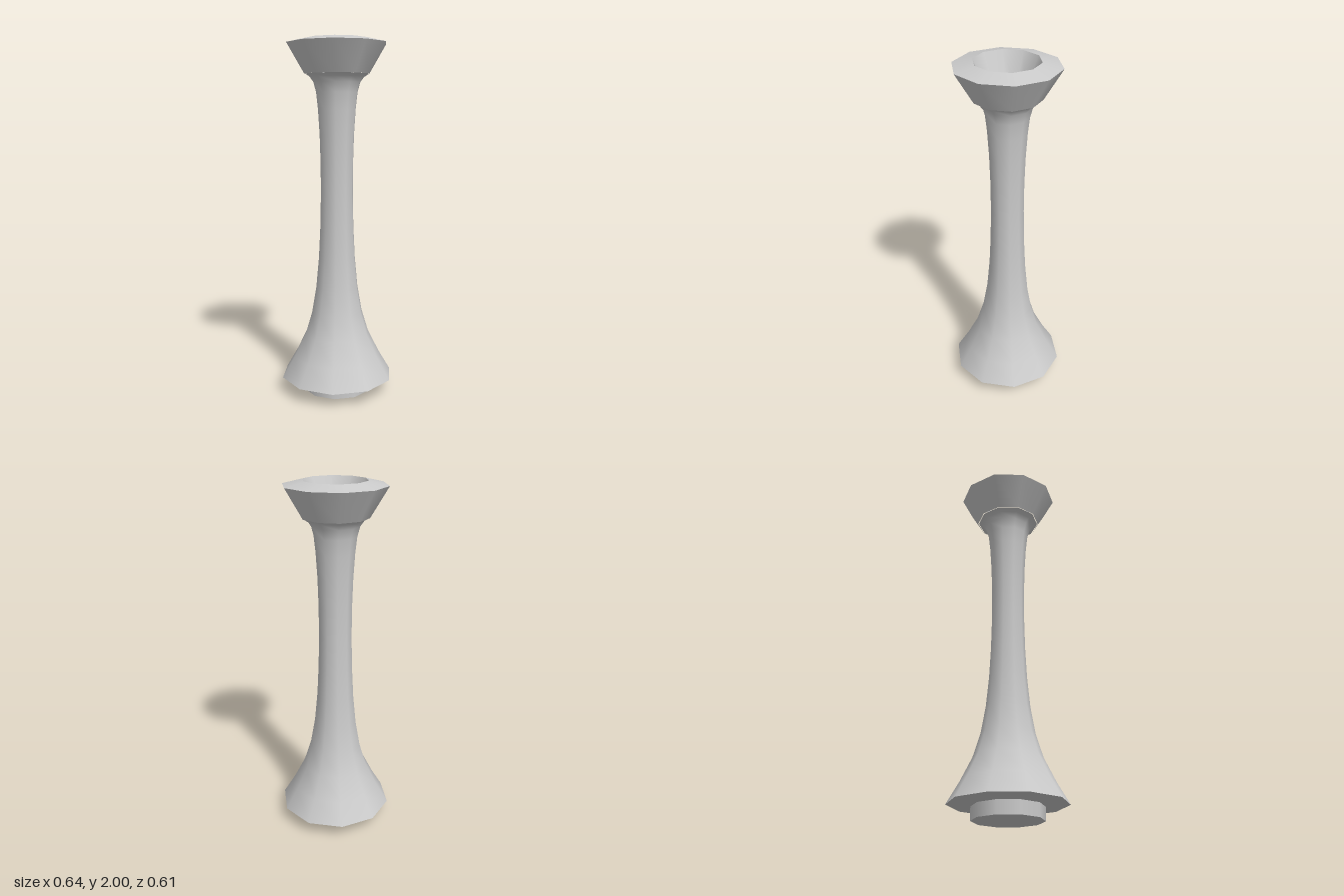
import * as THREE from 'three';

const SIDES = 10;
const material = new THREE.MeshStandardMaterial({ color: 0xcccccc });

// Turned part: each section is smooth along its profile, with a hard edge between sections.
// Points are [radius, height]; outer surfaces run upwards, so faces point outwards.
function turned(name, sections) {
  const group = new THREE.Group();
  group.name = name;
  for (const [label, points] of Object.entries(sections)) {
    const profile = points.map(([r, y]) => new THREE.Vector2(r, y));
    const mesh = new THREE.Mesh(new THREE.LatheGeometry(profile, SIDES, Math.PI / 2), material);
    mesh.name = label;
    group.add(mesh);
  }
  return group;
}

export function createModel() {
  const model = new THREE.Group();
  model.name = 'candlestick';

  // Short plug under the flared base
  model.add(turned('foot', {
    footBottom: [[0, 0], [0.193, 0]],
    footSide: [[0.193, 0], [0.193, 0.073]],
    footTop: [[0.193, 0.073], [0.14, 0.078]],
    footNeck: [[0.14, 0.078], [0.14, 0.085]],
  }));

  // Slender column flaring out to the base and up into the head
  model.add(turned('column', {
    baseUnderside: [[0, 0.083], [0.322, 0.083]],
    shaft: [
      [0.322, 0.083], [0.253, 0.2], [0.188, 0.33], [0.148, 0.46], [0.122, 0.61],
      [0.106, 0.78], [0.097, 0.96], [0.093, 1.15], [0.094, 1.32], [0.099, 1.48],
      [0.108, 1.62], [0.118, 1.71], [0.133, 1.765], [0.155, 1.795], [0.18, 1.81],
    ],
  }));

  // Flared head with a sloping rim and a tapered socket
  model.add(turned('head', {
    headSide: [[0.184, 1.81], [0.282, 1.975]],
    rim: [[0.282, 1.975], [0.175, 2]],
    socketWall: [[0.175, 2], [0.095, 1.82]],
    socketFloor: [[0.095, 1.82], [0.08, 1.8], [0.045, 1.785], [0, 1.78]],
  }));

  return model;
}
